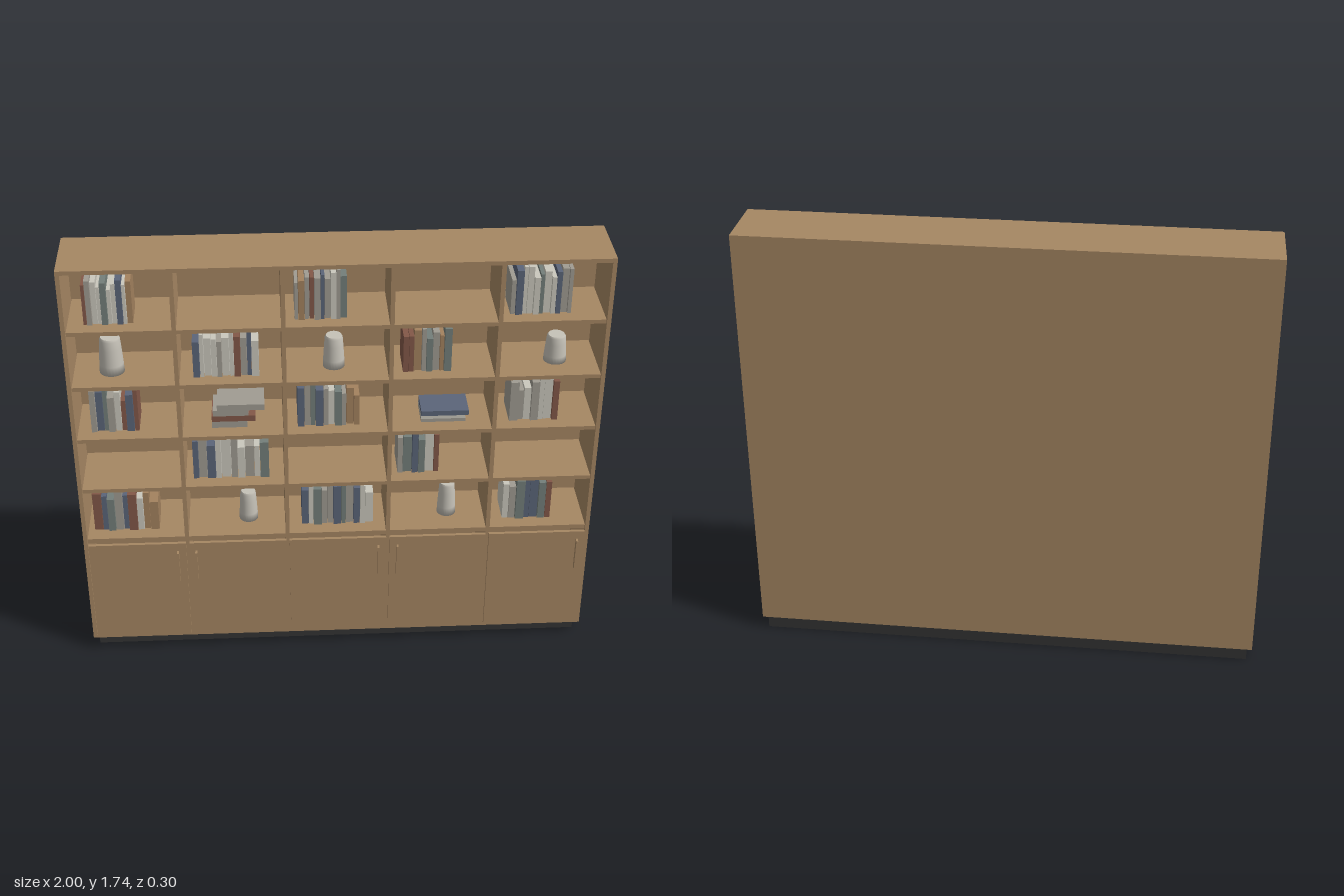
import * as THREE from 'three';

const paint = (name, color) => {
  const m = new THREE.MeshStandardMaterial({ color });
  m.name = name;
  return m;
};
const wood = paint('oak', 0xa68763);
const black = paint('plinth black', 0x343434);
const ceramic = paint('ceramic', 0xc6c2b8);
// book cover colours by letter
const covers = {
  c: paint('cream', 0xcac8bd),
  g: paint('stone grey', 0xa09c92),
  n: paint('slate blue', 0x5b6579),
  r: paint('russet', 0x835848),
  t: paint('tan', 0xa3825f),
  e: paint('sage grey', 0x747f7a),
};

// box from its minimum and maximum corners
function block(parent, name, mat, x0, x1, y0, y1, z0, z1) {
  const mesh = new THREE.Mesh(new THREE.BoxGeometry(x1 - x0, y1 - y0, z1 - z0), mat);
  mesh.position.set((x0 + x1) / 2, (y0 + y1) / 2, (z0 + z1) / 2);
  mesh.name = name;
  parent.add(mesh);
  return mesh;
}

function group(parent, name) {
  const g = new THREE.Group();
  g.name = name;
  parent.add(g);
  return g;
}

const FRONT = 0.12, BACK = -0.147;
const BASE = 0.055, TOP = 1.735, T = 0.016;
const shelfTops = [1.487, 1.254, 1.024, 0.795, 0.558]; // upper row first

// Carcass: sides, dividers, shelves and back
function addCarcass(model) {
  const g = group(model, 'carcass');
  block(g, 'plinth', black, -0.98, 0.98, 0, BASE, -0.135, 0.087);
  for (const s of [-1, 1]) block(g, 'sidePanel', wood, s * 0.992 - 0.008, s * 0.992 + 0.008, BASE, TOP, BACK, FRONT);
  block(g, 'topPanel', wood, -0.984, 0.984, TOP - T, TOP, BACK, FRONT);
  block(g, 'bottomPanel', wood, -0.984, 0.984, BASE, BASE + T, BACK, FRONT);
  block(g, 'backPanel', wood, -0.984, 0.984, BASE + T, TOP - T, BACK, BACK + 0.012);
  for (const x of [-0.594, -0.198, 0.198, 0.594])
    block(g, 'divider', wood, x - 0.008, x + 0.008, BASE + T, TOP - T, BACK + 0.012, FRONT);
  for (const y of shelfTops)
    for (let i = 0; i < 5; i++) {
      const x = (i - 2) * 0.396;
      block(g, 'shelf', wood, x - 0.19, x + 0.19, y - (y < 0.6 ? 0.02 : T), y, BACK + 0.012, FRONT);
    }
}

// Doors with vertical bar handles
function addDoors(model) {
  const handles = [-0.632, -0.56, 0.16, 0.235, 0.952];
  handles.forEach((hx, i) => {
    const g = group(model, 'door');
    const x = (i - 2) * 0.395;
    block(g, 'doorPanel', wood, x - 0.191, x + 0.191, 0.072, 0.533, FRONT, 0.133);
    block(g, 'handle', wood, hx - 0.004, hx + 0.004, 0.36, 0.497, 0.133, 0.152);
  });
}

// Row of upright books: each height digit adds 0.01 to 0.12
function addBooks(model, row, x0, x1, heights, colours) {
  const g = group(model, 'bookRow');
  const n = heights.length;
  const weights = [...heights].map((d, i) => 1 + 0.28 * Math.sin(i * 2.4 + row + x0 * 9));
  const total = weights.reduce((a, b) => a + b, 0);
  let x = x0;
  for (let i = 0; i < n; i++) {
    const w = (weights[i] / total) * (x1 - x0);
    const h = 0.12 + 0.01 * Number(heights[i]);
    const front = 0.062 + 0.006 * Math.sin(i * 1.9 + row);
    block(g, 'book', covers[colours[i]], x, x + w - 0.0015, shelfTops[row], shelfTops[row] + h, -0.072, front);
    x += w;
  }
}

// Tapered vase with a small rounded shoulder
function addVase(model, row, x, r, h) {
  const profile = [[0, 0], [r, 0], [r * 0.97, h * 0.25], [r * 0.88, h * 0.7], [r * 0.82, h * 0.94], [r * 0.72, h], [0, h]];
  const points = profile.map(([a, b]) => new THREE.Vector2(a, b));
  // doubled ring keeps the flat lid crisp
  points.splice(5, 0, points[5].clone());
  const vase = new THREE.Mesh(new THREE.LatheGeometry(points, 24), ceramic);
  vase.position.set(x, shelfTops[row], 0);
  vase.name = 'vase';
  model.add(vase);
}

// Stack of books lying flat: [left, right, thickness, colour]
function addStack(model, row, layers) {
  const g = group(model, 'bookStack');
  let y = shelfTops[row];
  for (const [x0, x1, t, c] of layers) {
    block(g, 'flatBook', covers[c], x0, x1, y, y + t, -0.06, 0.06);
    y += t;
  }
}

export function createModel() {
  const model = new THREE.Group();
  model.name = 'bookcase';
  addCarcass(model);
  addDoors(model);

  const rows = [
    [0, -0.922, -0.741, '4653524645', 'rgcceccnct'],
    [0, -0.155, 0.037, '3455564785', 'gtgrgngcge'],
    [0, 0.636, 0.861, '26773453566', 'gnccceccngg'],
    [1, -0.535, -0.289, '36443475483', 'ncccgccrgnc'],
    [1, 0.246, 0.428, '33562436', 'rrtgegte'],
    [2, -0.93, -0.749, '65735146', 'gnegcrnr'],
    [2, -0.15, 0.086, '5764433241', 'ngengcegtt'],
    [2, 0.658, 0.845, '5125665', 'ggcgccr'],
    [3, -0.556, -0.262, '5737562224', 'ngnccgcgce'],
    [3, 0.235, 0.396, '447365', 'geneir'.replace('i', 'c')],
    [4, -0.957, -0.701, '543745351', 'rnegnrctt'],
    [4, -0.139, 0.144, '46546687562', 'nceggnegncc'],
    [4, 0.658, 0.85, '4367655', 'cgenner'],
  ];
  for (const r of rows) addBooks(model, ...r);

  addVase(model, 1, -0.84, 0.047, 0.147);
  addVase(model, 1, -0.01, 0.041, 0.13);
  addVase(model, 1, 0.827, 0.043, 0.11);
  addVase(model, 4, -0.35, 0.037, 0.13);
  addVase(model, 4, 0.44, 0.037, 0.142);

  addStack(model, 2, [
    [-0.476, -0.342, 0.027, 'g'],
    [-0.476, -0.31, 0.024, 'r'],
    [-0.471, -0.337, 0.024, 'g'],
    [-0.455, -0.275, 0.025, 'g'],
  ]);
  addStack(model, 2, [
    [0.321, 0.492, 0.014, 'g'],
    [0.321, 0.489, 0.013, 'c'],
    [0.321, 0.503, 0.021, 'n'],
  ]);
  return model;
}
